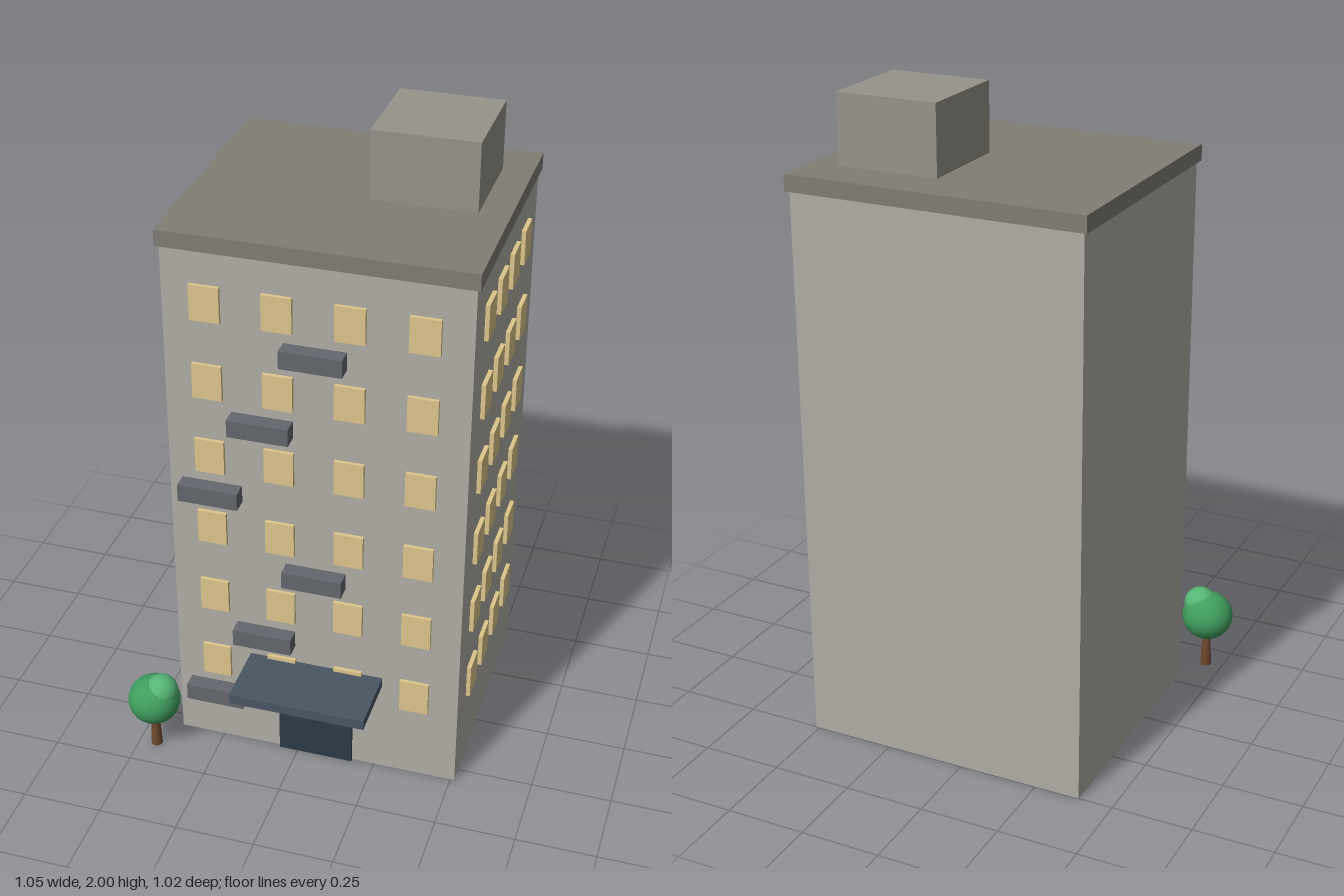
import * as THREE from 'three';

const material = (color) => new THREE.MeshStandardMaterial({ color });
const wallMat = material(0xb0ada4);
const roofMat = material(0x807d74);
const hutMat = material(0x96938a);
const glassMat = material(0xdec68c);
const balconyMat = material(0x63676d);
const doorMat = material(0x2c3a48);
const canopyMat = material(0x485664);
const trunkMat = material(0x70482c);
const leafMat = material(0x3f9e5e);
const leafLightMat = material(0x56b676);

// Box given by its min and max along each axis
function box(name, [x0, x1], [y0, y1], [z0, z1], mat) {
  const mesh = new THREE.Mesh(new THREE.BoxGeometry(x1 - x0, y1 - y0, z1 - z0), mat);
  mesh.position.set((x0 + x1) / 2, (y0 + y1) / 2, (z0 + z1) / 2);
  mesh.name = name;
  return mesh;
}

const around = (c, size) => [c - size / 2, c + size / 2];

function createTree() {
  const tree = new THREE.Group();
  tree.name = 'tree';
  const trunk = new THREE.Mesh(new THREE.CylinderGeometry(0.012, 0.018, 0.13, 12), trunkMat);
  trunk.position.y = 0.065;
  trunk.name = 'trunk';
  const crown = new THREE.Mesh(new THREE.SphereGeometry(0.083, 24, 16), leafMat);
  crown.position.y = 0.182;
  crown.scale.y = 0.95;
  crown.name = 'crown';
  const tuft = new THREE.Mesh(new THREE.SphereGeometry(0.053, 24, 16), leafLightMat);
  tuft.position.set(0.026, 0.222, 0);
  tuft.name = 'crownTop';
  tree.add(trunk, crown, tuft);
  tree.position.set(-0.444, 0, 0.404);
  return tree;
}

export function createModel() {
  const model = new THREE.Group();
  model.name = 'apartmentBlock';
  const front = 0.3, side = 0.513;

  // Main block, roof slab and rooftop hut
  model.add(
    box('walls', [-0.392, side], [0, 1.74], [-0.5, front], wallMat),
    box('roofSlab', [-0.403, 0.523], [1.738, 1.788], [-0.511, 0.31], roofMat),
    box('rooftopHut', [0.115, 0.431], [1.788, 2], [-0.368, -0.05], hutMat),
  );

  // Windows on the front and the left side, one balcony per floor
  const windows = new THREE.Group();
  windows.name = 'windows';
  const balconies = new THREE.Group();
  balconies.name = 'balconies';
  for (let floor = 0; floor < 6; floor++) {
    const y = 0.31 + floor * 0.2535;
    for (let i = 0; i < 4; i++) {
      const x = -0.262 + i * 0.2127;
      const z = 0.143 - i * 0.159;
      windows.add(
        box('frontWindow', around(x, 0.09), around(y, 0.112), [front - 0.01, front + 0.012], glassMat),
        box('sideWindow', [side - 0.01, side + 0.013], around(y, 0.112), around(z, 0.09), glassMat),
      );
    }
    const bx = -0.26 + (floor % 3) * 0.16;
    balconies.add(box('balcony', around(bx, 0.186), around(y - 0.12, 0.056), [front - 0.01, 0.35], balconyMat));
  }
  model.add(windows, balconies);

  // Entrance
  model.add(
    box('door', around(0.06, 0.238), [0, 0.268], [front - 0.01, front + 0.011], doorMat),
    box('canopy', around(0.06, 0.425), [0.322, 0.354], [front, 0.511], canopyMat),
  );

  model.add(createTree());
  return model;
}
